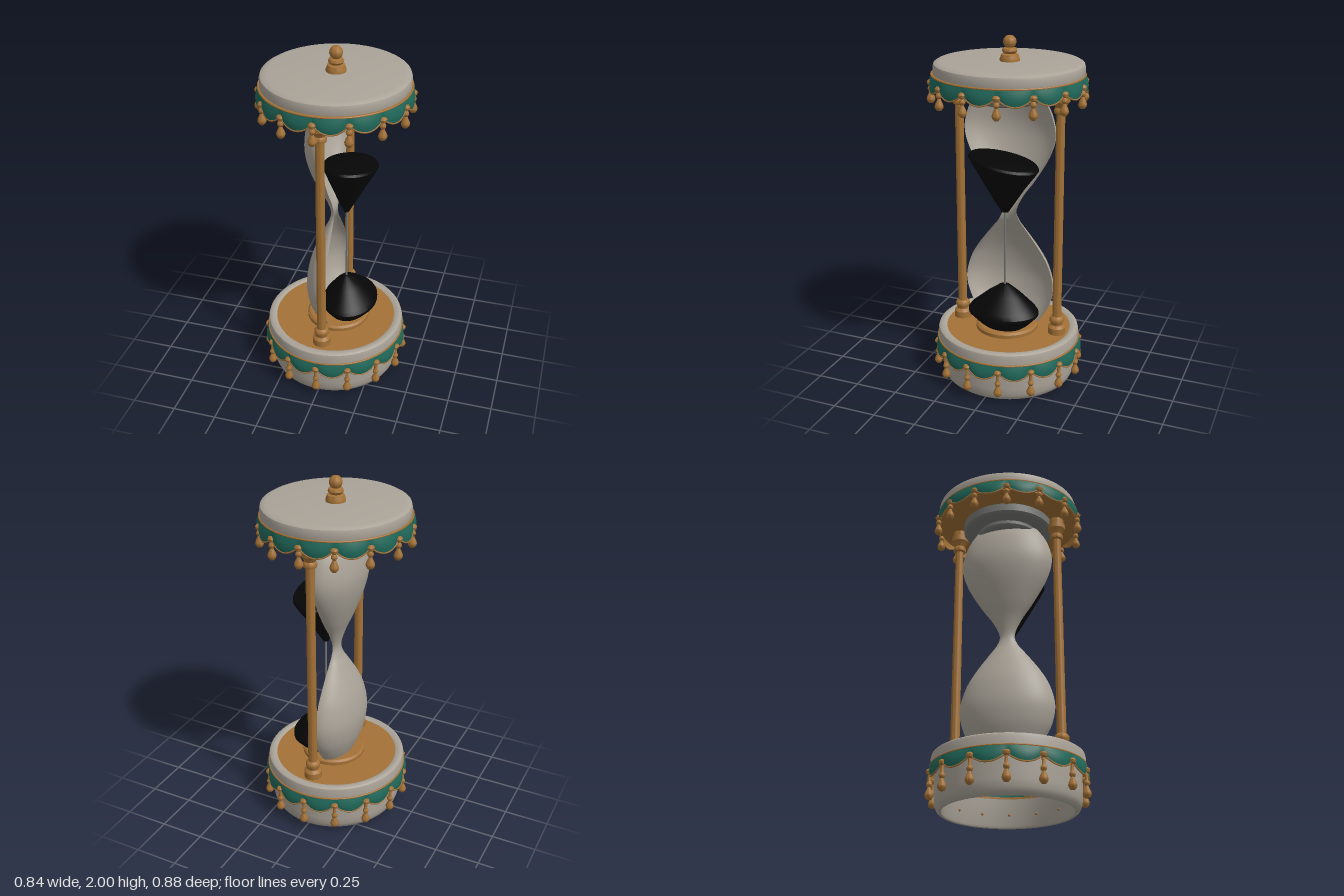
import * as THREE from 'three';
import { toCreasedNormals } from 'three/addons/utils/BufferGeometryUtils.js';

const mat = (name, color) => {
  const m = new THREE.MeshStandardMaterial({ color, side: THREE.DoubleSide });
  m.name = name;
  return m;
};

export function createModel() {
  const stone = mat('warm grey', 0xaaa398);
  const slate = mat('slate grey', 0x767875);
  const gold = mat('antique gold', 0xa37136);
  const teal = mat('teal', 0x206759);
  const black = mat('black sand', 0x060606);
  const root = new THREE.Group();
  root.name = 'hourglass';

  const add = (parent, name, geo, material, x = 0, y = 0, z = 0) => {
    const m = new THREE.Mesh(geo, material);
    m.name = name;
    m.position.set(x, y, z);
    parent.add(m);
    return m;
  };
  const pts = (list) => list.map(([r, y]) => new THREE.Vector2(r, y));
  const lathe = (list, seg = 64) => toCreasedNormals(new THREE.LatheGeometry(pts(list), seg), 0.65);
  const smooth = (list, n) => new THREE.SplineCurve(pts(list)).getPoints(n);

  // The discs are slightly longer from front to back
  const LONG = 1.03;
  const disc = (list) => lathe(list, 80).scale(1, 1, LONG);

  // Top cap with softened upper edge
  add(root, 'topCap', disc([[0, 1.76], [0.385, 1.76], [0.397, 1.78], [0.397, 1.84], [0.393, 1.853],
    [0.38, 1.861], [0.36, 1.864], [0, 1.864]]), stone, 0, 0, -0.004);
  add(root, 'topUnderside', disc([[0, 1.735], [0.395, 1.735], [0.395, 1.765], [0, 1.765]]), gold);
  add(root, 'upperGlassCollar', lathe([[0, 1.645], [0.165, 1.645], [0.175, 1.655], [0.175, 1.675], [0.25, 1.68],
    [0.26, 1.69], [0.26, 1.735], [0, 1.735]]), slate);

  // Finial
  add(root, 'finial', lathe([[0.054, 1.86], [0.054, 1.875], [0.05, 1.885], [0.046, 1.898], [0.03, 1.903], [0.036, 1.908],
    [0.042, 1.918], [0.038, 1.93], [0.022, 1.936], [0.03, 1.944], [0.036, 1.962], [0.033, 1.98],
    [0.02, 1.995], [0, 2]], 32), gold, 0, 0, -0.008);

  // Hollow base drum and its wider upper rim
  add(root, 'baseDrum', disc([[0.335, 0.25], [0.335, 0.015], [0.34, 0.003], [0.35, 0], [0.365, 0.012],
    [0.376, 0.04], [0.38, 0.08], [0.38, 0.25]]), stone);
  add(root, 'baseRim', disc([[0.37, 0.235], [0.4, 0.235], [0.4, 0.288], [0.396, 0.302], [0.385, 0.31],
    [0.365, 0.31], [0.348, 0.3]]), stone);
  add(root, 'baseDeck', disc([[0, 0.255], [0.37, 0.255], [0.37, 0.302], [0, 0.302]]), gold);
  add(root, 'lowerGlassCollar', lathe([[0, 0.3], [0.182, 0.3], [0.182, 0.322], [0.17, 0.332], [0, 0.332]]),
    gold, 0.017);
  const band = (name, y, h, m) => add(root, name,
    new THREE.CylinderGeometry(0.332, 0.332, h, 64, 1, true).scale(1, 1, LONG), m, 0, y);
  band('innerTealBand', 0.19, 0.028, teal);
  band('innerGoldBand', 0.17, 0.012, gold);

  // Scalloped valance: cusps sit at the tassels, bellied swags hang between them
  const N = 14;
  const edge = (a, v, top, inset = 0) => {
    const s = Math.pow(Math.abs(Math.sin(a * N / 2)), 0.7);
    const r = 0.404 - inset + 0.015 * s * Math.sin(v * Math.PI * 0.75);
    return new THREE.Vector3(r * Math.sin(a), top - v * (0.038 + 0.05 * s), LONG * r * Math.cos(a));
  };
  const drape = (top, inset) => {
    const g = new THREE.CylinderGeometry(1, 1, 1, N * 14, 5, true);
    const p = g.attributes.position;
    for (let i = 0; i < p.count; i++) {
      const q = edge(Math.atan2(p.getX(i), p.getZ(i)), 0.5 - p.getY(i), top, inset);
      p.setXYZ(i, q.x, q.y, q.z);
    }
    g.computeVertexNormals();
    return g;
  };
  const valance = (name, top) => {
    const g = new THREE.Group();
    g.name = name;
    add(g, 'scallops', drape(top, 0), teal);
    add(g, 'scallopLining', drape(top, 0.004), gold);
    const path = [];
    for (let i = 0; i < N * 14; i++) path.push(edge(i / (N * 14) * Math.PI * 2, 1, top));
    const curve = new THREE.CatmullRomCurve3(path, true);
    add(g, 'scallopTrim', new THREE.TubeGeometry(curve, N * 16, 0.0045, 6, true), gold);
    add(g, 'topTrim', disc([[0.385, top - 0.004], [0.406, top - 0.004], [0.407, top], [0.404, top + 0.004],
      [0.385, top + 0.004]]), gold);
    root.add(g);
    return g;
  };
  const upper = valance('upperValance', 1.797);
  const lower = valance('lowerValance', 0.243);

  // Tassels: bead, neck and drop, hung at every cusp
  const tassel = (len) => lathe([[0, 0], [0.012, 0.003], [0.021, 0.014], [0.024, 0.026], [0.019, 0.042],
    [0.011, 0.058], [0.009, 0.066], [0.015, 0.073], [0.017, 0.082], [0.013, 0.092], [0.009, 0.098],
    [0.009, len - 0.032], [0.018, len - 0.025], [0.021, len - 0.012], [0.014, len - 0.002], [0, len]], 14);
  const longTassel = tassel(0.165), shortTassel = tassel(0.13);
  const stud = new THREE.SphereGeometry(0.008, 10, 8);
  for (let i = 0; i < N; i++) {
    const a = i / N * Math.PI * 2, x = Math.sin(a), z = LONG * Math.cos(a);
    add(upper, 'upperTassel', shortTassel, gold, x * 0.406, 1.637, z * 0.406);
    add(lower, 'lowerTassel', longTassel, gold, x * 0.406, 0.05, z * 0.406);
    add(lower, 'innerStud', stud, gold, x * 0.335, 0.075, z * 0.335);
  }

  // Two columns, front and back
  const column = lathe([[0.05, 0.3], [0.05, 0.34], [0.043, 0.348], [0.034, 0.355], [0.034, 0.365], [0.041, 0.375],
    [0.041, 0.392], [0.034, 0.403], [0.026, 0.408], [0.024, 1.6], [0.035, 1.605], [0.038, 1.617],
    [0.035, 1.63], [0.029, 1.637], [0.036, 1.652], [0.05, 1.67], [0.05, 1.7], [0.042, 1.705],
    [0.042, 1.74]], 28);
  add(root, 'frontColumn', column, gold, 0, 0, 0.293);
  add(root, 'backColumn', column, gold, 0, 0, -0.3);

  // Flattened half shell of glass, open on the model's left
  const profile = smooth([[0.16, 0.325], [0.21, 0.395], [0.25, 0.475], [0.267, 0.58], [0.237, 0.7], [0.18, 0.8],
    [0.105, 0.9], [0.06, 0.96], [0.044, 1.02], [0.085, 1.11], [0.155, 1.21], [0.235, 1.35], [0.267, 1.47],
    [0.242, 1.59], [0.19, 1.68]], 70);
  const glass = add(root, 'glassShell', new THREE.LatheGeometry(profile, 40, Math.PI, Math.PI), stone, 0, 0, -0.005);
  glass.scale.x = 0.59;

  // Sand piles: turned shapes squeezed sideways, leaning toward the open side
  const sand = (name, list, lean, squeeze, tilt) => {
    const g = new THREE.LatheGeometry(pts(list), 48), p = g.attributes.position;
    for (let i = 0; i < p.count; i++) {
      const x = p.getX(i), y = p.getY(i), z = p.getZ(i);
      const w = Math.min(1, Math.max(0, (y - 1.02) / 0.28));
      p.setXYZ(i, 0.06 + lean * Math.hypot(x, z) / 0.2 + x * squeeze, y + tilt * w * z, z - 0.005);
    }
    add(root, name, toCreasedNormals(g, 0.6), black);
  };
  sand('upperSand', [[0, 1.02], [0.02, 1.027], [0.06, 1.09], [0.12, 1.19], [0.18, 1.285], [0.2, 1.32], [0.192, 1.333],
    [0.1, 1.345], [0, 1.349]], 0.025, 0.75, 0.17);
  sand('lowerSand', [[0, 0.333], [0.12, 0.335], [0.15, 0.36], [0.207, 0.422], [0.207, 0.437], [0.19, 0.46],
    [0.1, 0.535], [0.03, 0.583], [0, 0.59]], 0.028, 0.76, 0);
  add(root, 'sandStream', new THREE.CylinderGeometry(0.006, 0.006, 0.46, 8), slate, 0.065, 0.8, -0.005);

  return root;
}
